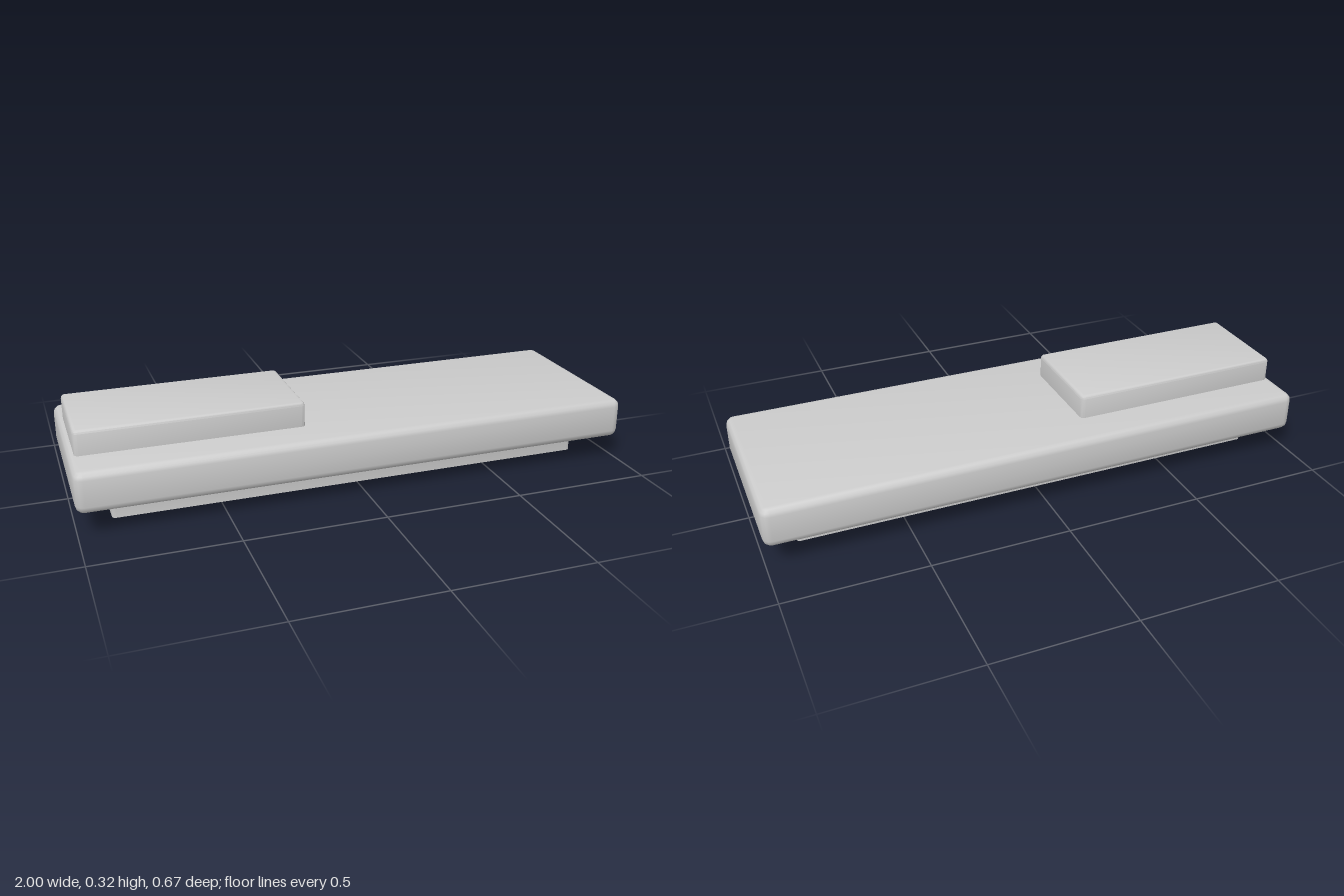
import * as THREE from 'three';
import { toCreasedNormals } from 'three/addons/utils/BufferGeometryUtils.js';

const CORNER_STEPS = 3;

// Rounded rectangle in plan: half sizes hx, hz and corner radius r, at height y
function ring(hx, hz, r, y) {
  const points = [];
  const signs = [[1, 1], [-1, 1], [-1, -1], [1, -1]];
  signs.forEach(([sx, sz], q) => {
    for (let i = 0; i <= CORNER_STEPS; i++) {
      const a = (q + i / CORNER_STEPS) * Math.PI / 2;
      points.push([sx * (hx - r) + r * Math.cos(a), y, sz * (hz - r) + r * Math.sin(a)]);
    }
  });
  return points;
}

// Skin through the rings from bottom to top, closed by a flat lid
function loft(rings) {
  const n = rings[0].length;
  const index = [];
  for (let k = 0; k < rings.length - 1; k++) {
    for (let i = 0; i < n; i++) {
      const j = (i + 1) % n;
      const a = k * n + i, b = k * n + j, c = a + n, d = b + n;
      index.push(a, c, b, b, c, d);
    }
  }
  const top = (rings.length - 1) * n;
  for (let i = 1; i < n - 1; i++) index.push(top, top + i + 1, top + i);
  const geometry = new THREE.BufferGeometry();
  geometry.setAttribute('position', new THREE.Float32BufferAttribute(rings.flat(2), 3));
  geometry.setIndex(index);
  return toCreasedNormals(geometry, 0.75);
}

// Quarter-round steps as [sin, cos] pairs
const quarter = Array.from({ length: 4 }, (_, i) => {
  const a = i / 3 * Math.PI / 2;
  return [Math.sin(a), Math.cos(a)];
});

export function createModel() {
  const model = new THREE.Group();
  const material = new THREE.MeshStandardMaterial({ color: 0xcccccc, side: THREE.DoubleSide });
  const add = (name, rings) => {
    const mesh = new THREE.Mesh(loft(rings), material);
    mesh.name = name;
    model.add(mesh);
    return mesh;
  };

  // Hollow base: open skirt, flared into the underside of the rounded slab
  const hx = 1, hz = 0.333, low = 0.09, high = 0.235, e = 0.026, r = 0.03;
  const sx = 0.875, sz = 0.202, f = 0.025, sr = 0.012;
  const base = [ring(sx, sz, sr, 0)];
  for (const [s, c] of quarter) {
    const out = f * (1 - c);
    base.push(ring(sx + out, sz + out, sr + out, low - f + f * s));
  }
  for (const [s, c] of quarter) {
    const inset = e * (1 - s);
    base.push(ring(hx - inset, hz - inset, r - inset, low + e * (1 - c)));
  }
  for (const [s, c] of quarter) {
    const inset = e * (1 - c);
    base.push(ring(hx - inset, hz - inset, r - inset, high - e * (1 - s)));
  }
  add('hollowBase', base);

  // Raised block on one end of the slab
  const bx = 0.396, bz = 0.187, be = 0.012, br = 0.014, top = 0.323;
  const block = [ring(bx, bz, br, high)];
  for (const [s, c] of quarter) {
    const inset = be * (1 - c);
    block.push(ring(bx - inset, bz - inset, br - inset, top - be * (1 - s)));
  }
  add('raisedBlock', block).position.x = -0.582;

  return model;
}
